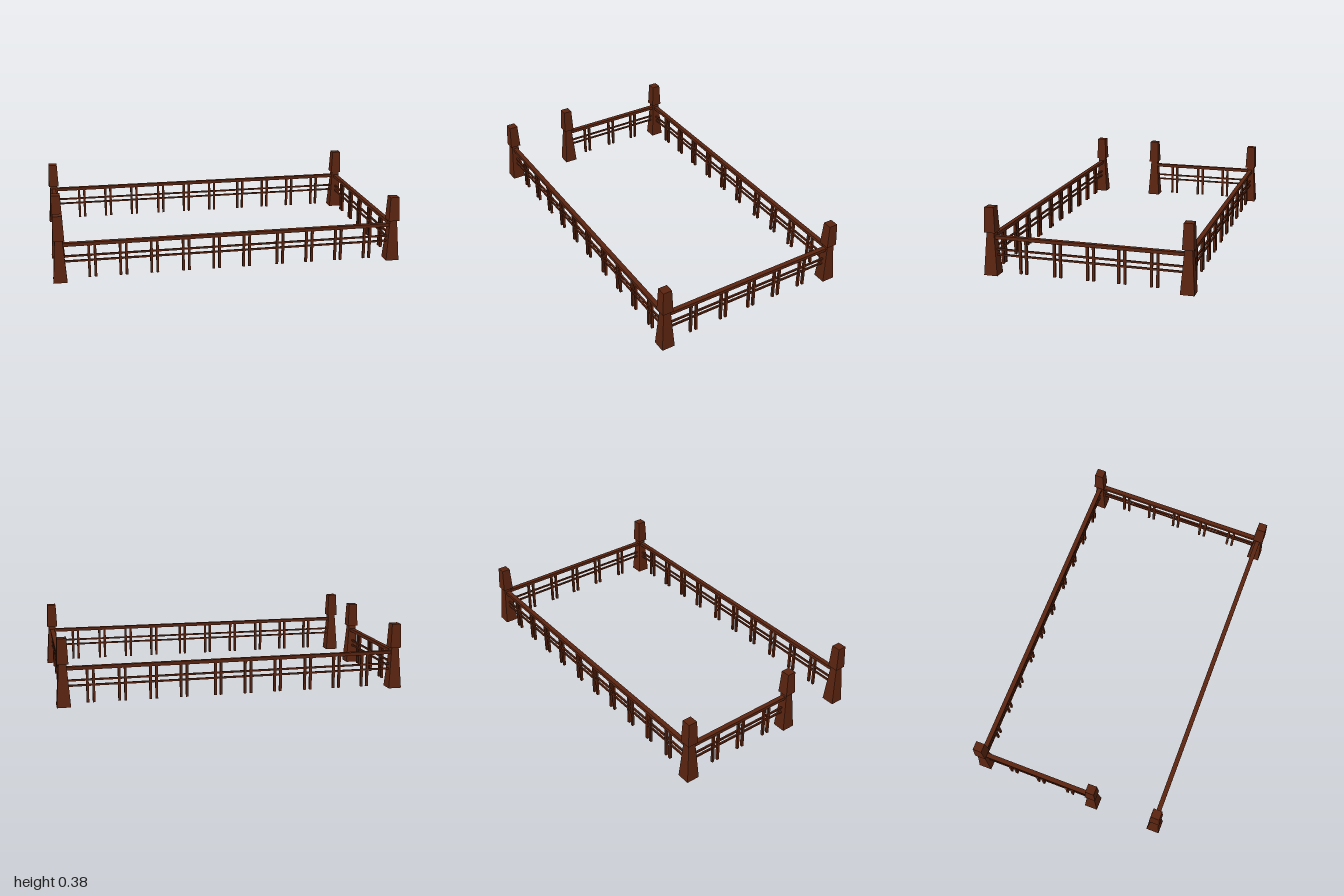
import * as THREE from 'three';

const wood = new THREE.MeshStandardMaterial({ color: 0x5a2410 });
wood.name = 'dark brown wood';

function box(name, w, h, d, x, y, z) {
  const mesh = new THREE.Mesh(new THREE.BoxGeometry(w, h, d), wood);
  mesh.name = name;
  mesh.position.set(x, y, z);
  return mesh;
}

// Square block that narrows towards the top
function taper(name, bottom, top, y0, y1) {
  const geo = new THREE.CylinderGeometry(top / Math.SQRT2, bottom / Math.SQRT2, y1 - y0, 4)
    .rotateY(Math.PI / 4).toNonIndexed();
  geo.computeVertexNormals();
  const mesh = new THREE.Mesh(geo, wood);
  mesh.name = name;
  mesh.position.y = (y0 + y1) / 2;
  return mesh;
}

function post(x, z) {
  const g = new THREE.Group();
  g.name = 'post';
  g.add(taper('postShaft', 0.077, 0.042, 0, 0.245), taper('postCap', 0.064, 0.052, 0.24, 0.381));
  g.position.set(x, 0, z);
  return g;
}

// Straight fence run along x (or z), with paired pickets at the given places
function fence(name, alongZ, from, to, offset, pairs) {
  const g = new THREE.Group();
  g.name = name;
  const bar = (part, len, h, depth, at, y) => g.add(alongZ
    ? box(part, depth, h, len, offset, y, at)
    : box(part, len, h, depth, at, y, offset));
  const len = to - from, mid = (from + to) / 2;
  bar('topRail', len, 0.019, 0.027, mid, 0.211);
  bar('middleRail', len, 0.01, 0.01, mid, 0.142);
  bar('lowerRail', len, 0.01, 0.01, mid, 0.112);
  for (const p of pairs)
    for (const s of [-1, 1]) bar('picket', 0.014, 0.192, 0.014, p + s * 0.017, 0.109);
  return g;
}

export function createModel() {
  const model = new THREE.Group();
  model.name = 'fencedEnclosure';
  const X = 0.962, Z = 0.546, gateZ = 0.15;

  // Corner posts and the gate post
  for (const [x, z] of [[-X, -Z], [X, -Z], [-X, Z], [X, Z], [-X, gateZ]]) model.add(post(x, z));

  // Long runs
  const longPairs = [-0.782, -0.609, -0.435, -0.255, -0.08, 0.094, 0.29, 0.463, 0.637, 0.812];
  model.add(fence('frontFence', false, -X, X, Z, longPairs));
  model.add(fence('backFence', false, -X, X, -Z, longPairs));

  // Short runs, leaving an opening at the front of the right side
  model.add(fence('leftFence', true, -Z, Z, X, [-0.364, -0.186, -0.014, 0.172, 0.367]));
  model.add(fence('rightFence', true, -Z, gateZ, -X, [-0.364, -0.186, 0.002]));
  return model;
}
